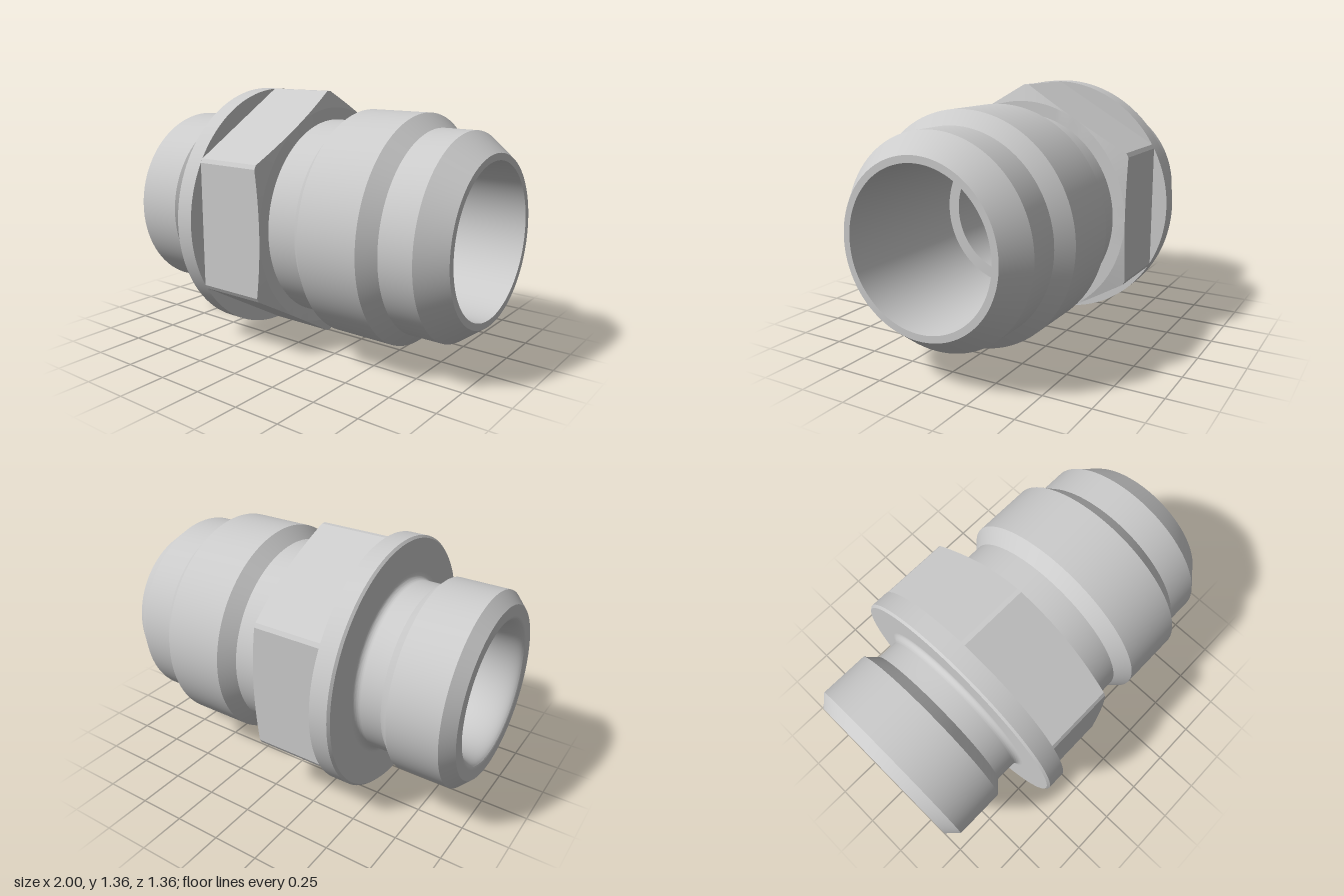
import * as THREE from 'three';
import { toCreasedNormals } from 'three/addons/utils/BufferGeometryUtils.js';

const AXIS_Y = 0.68;
const FLAT = 0.595; // hexagon centre to flat
const CORNER = 0.68; // hexagon corners are turned down to this radius
const material = new THREE.MeshStandardMaterial({ color: 0xcccccc });

function part(name, geometry) {
  const mesh = new THREE.Mesh(toCreasedNormals(geometry, 0.2), material);
  mesh.name = name;
  return mesh;
}

// Turned part along x from [x, radius] points; rising x faces outward
function turned(name, profile) {
  const points = profile.map(([x, r]) => new THREE.Vector2(r, x));
  return part(name, new THREE.LatheGeometry(points, 120).rotateZ(-Math.PI / 2));
}

// Elliptical arc of [x, radius] points
function arc(cx, cr, rx, rr, from, to, steps = 12) {
  return Array.from({ length: steps + 1 }, (_, i) => {
    const a = THREE.MathUtils.degToRad(from + ((to - from) * i) / steps);
    return [cx + rx * Math.cos(a), cr + rr * Math.sin(a)];
  });
}

// Hexagon with turned corners and a conical chamfer on its right face
function hexGeometry() {
  const half = Math.acos(FLAT / CORNER);
  const steps = 16;
  const sections = [];
  for (let side = 0; side < 6; side++) {
    for (let i = 0; i <= steps; i++) {
      const local = -half + (2 * half * i) / steps;
      const angle = Math.PI / 6 + (side * Math.PI) / 3 + local;
      const r = FLAT / Math.cos(local);
      const shoulder = 0.042 - (r - FLAT) * 0.28;
      sections.push([[-0.355, r], [shoulder, r], [0.042, FLAT - 0.002], [0.042, 0.5]]
        .map(([x, q]) => [x, q * Math.cos(angle), q * Math.sin(angle)]));
    }
  }
  const positions = [];
  sections.forEach((s, i) => {
    const n = sections[(i + 1) % sections.length];
    for (let j = 0; j < 3; j++) {
      positions.push(...s[j], ...n[j], ...s[j + 1], ...n[j], ...n[j + 1], ...s[j + 1]);
    }
  });
  const geometry = new THREE.BufferGeometry();
  geometry.setAttribute('position', new THREE.Float32BufferAttribute(positions, 3));
  return geometry;
}

export function createModel() {
  const group = new THREE.Group();
  group.name = 'pipeFitting';

  // Left spigot with relief groove and fillet into the flange
  group.add(turned('leftSpigot', [
    [-1, 0.393], [-1, 0.452], [-0.94, 0.512], [-0.67, 0.512], [-0.612, 0.455],
    ...arc(-0.5, 0.49, 0.035, 0.035, -90, 0),
  ]));

  // Round flange
  group.add(turned('flange', [
    [-0.465, 0.49], [-0.465, 0.668], [-0.453, 0.68], [-0.355, 0.68], [-0.355, 0.5],
  ]));

  group.add(part('hexagon', hexGeometry()));

  // Right spigot with neck, collar and tapered nose
  group.add(turned('rightSpigot', [
    [0.03, 0.528], [0.21, 0.528], [0.28, 0.595], [0.615, 0.595],
    [0.69, 0.525], [0.87, 0.525], [1, 0.428], [1, 0.393],
  ]));

  // Stepped through bore, flared at the left mouth
  group.add(turned('bore', [
    [1, 0.393], [0.2, 0.393], [0.2, 0.33],
    ...arc(-0.8, 0.393, 0.2, 0.063, 270, 180, 16),
  ]));

  group.position.y = AXIS_Y;
  const model = new THREE.Group();
  model.add(group);
  return model;
}
